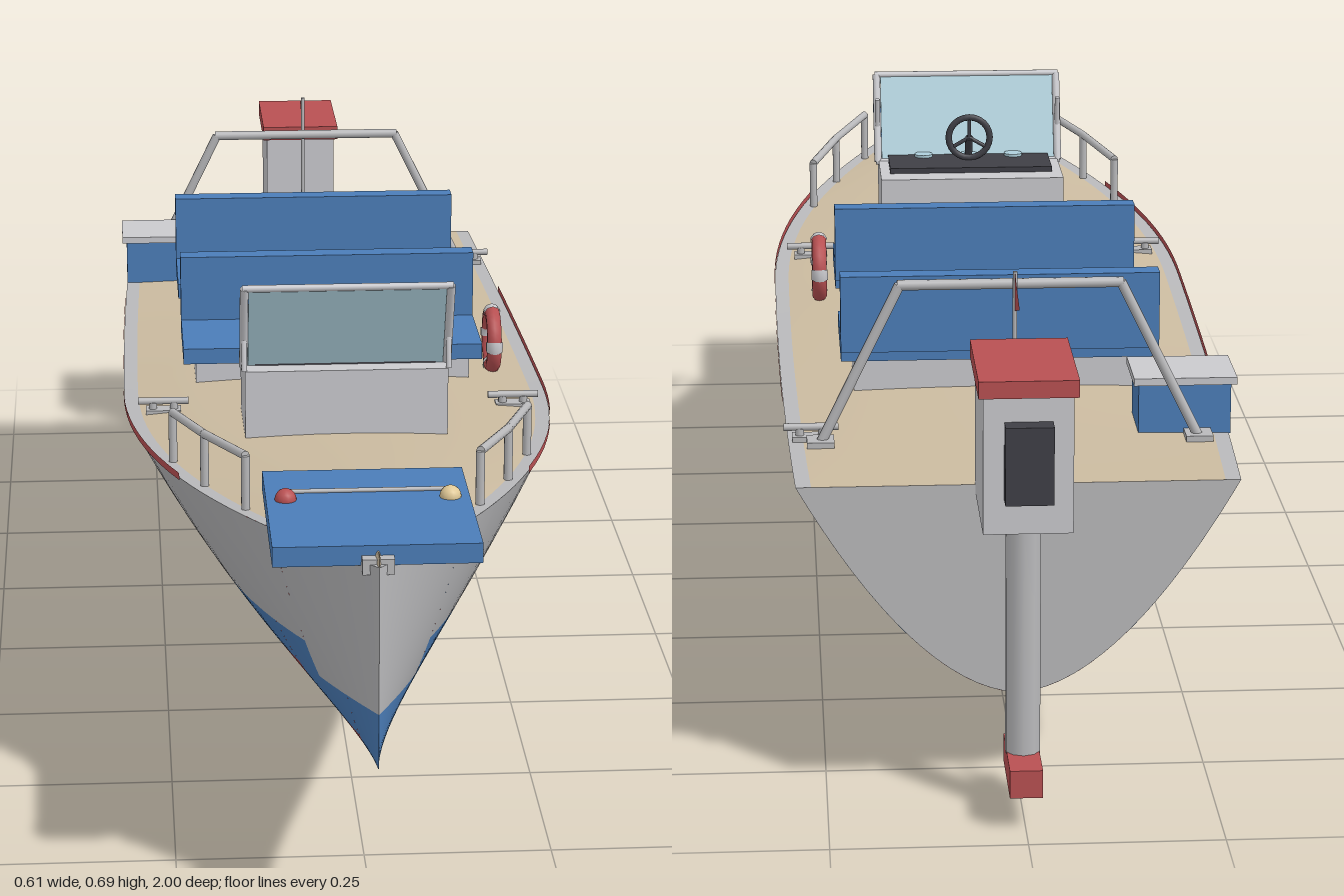
import * as THREE from 'three';

const mat = (name, color, side = THREE.FrontSide) => {
  const m = new THREE.MeshStandardMaterial({ color, side });
  m.name = name;
  return m;
};

export function createModel() {
  const grey = mat('hull grey', 0xb9b9bb, THREE.DoubleSide);
  const blue = mat('marine blue', 0x4b7db8, THREE.DoubleSide);
  const red = mat('signal red', 0xb85052, THREE.DoubleSide);
  const tan = mat('deck tan', 0xcbbba0, THREE.DoubleSide);
  const pale = mat('pale grey', 0xcacace);
  const dark = mat('dark trim', 0x3f3f46);
  const glass = mat('glass blue', 0xaecfdb);
  const cream = mat('lamp cream', 0xe0c896);

  const boat = new THREE.Group();
  boat.name = 'motorboat';

  // Helpers
  const add = (name, geo, m, x = 0, y = 0, z = 0, parent = boat) => {
    const mesh = new THREE.Mesh(geo, m);
    mesh.name = name;
    mesh.position.set(x, y, z);
    parent.add(mesh);
    return mesh;
  };
  // Box given by its limits
  const box = (name, m, x0, x1, y0, y1, z0, z1) =>
    add(name, new THREE.BoxGeometry(x1 - x0, y1 - y0, z1 - z0), m, (x0 + x1) / 2, (y0 + y1) / 2, (z0 + z1) / 2);
  // Round bar between two points
  const bar = (name, m, a, b, r = 0.006) => {
    const p = new THREE.Vector3(...a), q = new THREE.Vector3(...b), d = q.clone().sub(p);
    const mesh = add(name, new THREE.CylinderGeometry(r, r, d.length(), 10), m);
    mesh.position.copy(p.add(q).multiplyScalar(0.5));
    mesh.quaternion.setFromUnitVectors(new THREE.Vector3(0, 1, 0), d.normalize());
    return mesh;
  };
  // Surface sampled from a function of u and v
  const grid = (nu, nv, fn, flip) => {
    const pos = [], idx = [];
    for (let i = 0; i <= nu; i++) for (let j = 0; j <= nv; j++) pos.push(...fn(i / nu, j / nv));
    for (let i = 0; i < nu; i++) for (let j = 0; j < nv; j++) {
      const a = i * (nv + 1) + j, b = a + 1, c = a + nv + 1, d = c + 1;
      if (flip) idx.push(a, c, b, b, c, d);
      else idx.push(a, b, c, b, d, c);
    }
    const g = new THREE.BufferGeometry();
    g.setAttribute('position', new THREE.Float32BufferAttribute(pos, 3));
    g.setIndex(idx);
    g.computeVertexNormals();
    return g;
  };

  // Hull lines
  const STERN = -0.81;
  const ahead = (z) => Math.max(0, (z - 0.1) / 0.9);
  const width = (z) => z > 0.1 ? 0.305 * (1 - ahead(z) ** 2.1) : 0.305 - 0.02 * ((0.1 - z) / 0.91) ** 2;
  const keel = (z) => 0.13 + 0.105 * ahead(z) ** 1.7;
  const sheer = (z) => 0.415 + 0.09 * ((z - STERN) / 1.81) ** 2;
  const hullX = (y, z) => width(z) * Math.max(0, (y - keel(z)) / (sheer(z) - keel(z))) ** (1 / 1.8);
  // Stepped paint lines; zm tells which step the piece belongs to
  const redTop = (z, zm) => zm > 0.9 ? keel(z) : zm > 0.7 ? 0.215 + (z - 0.7) * 0.125
    : 0.21 + 0.05 * (Math.max(0, z) / 0.7) ** 1.5;
  const blueTop = (z, zm) => zm > 0.8 ? 0.28 + (z - 0.8) * 0.15 : zm < -0.46 ? 0.33
    : 0.265 + 0.065 * (Math.max(0, z) / 0.8) ** 1.5;

  // Painted hull sides
  const breaks = [STERN, -0.46, 0.1, 0.7, 0.8, 0.9, 1];
  const bands = [
    ['hullBottom', red, keel, redTop],
    ['hullBand', blue, redTop, blueTop],
    ['hullSide', grey, blueTop, sheer],
  ];
  for (const s of [1, -1]) for (let k = 0; k < breaks.length - 1; k++) {
    const z0 = breaks[k], z1 = breaks[k + 1], zm = (z0 + z1) / 2;
    for (const [name, m, lo, hi] of bands) {
      if (m === red && zm > 0.9) continue;
      add(name, grid(12, 10, (u, v) => {
        const z = z0 + (z1 - z0) * u, a = lo(z, zm), y = a + (hi(z, zm) - a) * v * v;
        return [s * hullX(y, z), y, z];
      }, s < 0), m);
    }
  }

  // Transom
  const outline = [];
  for (let i = -16; i <= 16; i++) {
    const t = i / 16;
    outline.push(new THREE.Vector2(t * width(STERN), keel(STERN) + (sheer(STERN) - keel(STERN)) * Math.abs(t) ** 1.8));
  }
  add('transom', new THREE.ShapeGeometry(new THREE.Shape(outline)).rotateY(Math.PI), grey, 0, 0, STERN);

  // Slightly crowned deck, gunwales and rub strips
  const inner = (z) => Math.max(0, width(z) - 0.02);
  const zAt = (u) => STERN + (1 - STERN) * u;
  const crown = (z) => 0.014 * Math.min(1, (z - STERN) / 0.8);
  add('deck', grid(48, 12, (u, v) => {
    const z = zAt(u), t = v * 2 - 1;
    return [t * inner(z), sheer(z) + crown(z) * (1 - t * t), z];
  }, true), tan);
  for (const s of [1, -1]) {
    add('gunwale', grid(48, 1, (u, v) => {
      const z = zAt(u);
      return [s * (v ? width(z) : inner(z)), sheer(z), z];
    }, s > 0), grey);
    add('rubStrip', grid(24, 1, (u, v) => {
      const z = -0.45 + u;
      return [s * (width(z) + 0.001), sheer(z) - 0.003 + v * 0.01, z];
    }, s < 0), red);
  }

  // Bow pad with lamps and stem head
  box('bowPad', blue, -0.13, 0.13, 0.497, 0.523, 0.69, 0.97);
  box('stemHead', grey, -0.02, 0.02, 0.49, 0.51, 0.95, 0.985);
  bar('padTrim', grey, [-0.1, 0.525, 0.775], [0.1, 0.525, 0.775], 0.003);
  for (const [x, m] of [[-0.105, red], [0.105, cream]])
    add('bowLamp', new THREE.SphereGeometry(0.014, 14, 10), m, x, 0.524, 0.8);

  // Bow rails
  for (const s of [1, -1]) {
    const post = (z) => [s * (width(z) - 0.018), sheer(z), z];
    const tops = [0.71, 0.59, 0.465].map((z) => {
      const p = post(z), t = [p[0], 0.53 + (z - 0.465) * 0.09, z];
      bar('railPost', grey, p, t);
      return t;
    });
    bar('bowRail', grey, tops[0], tops[1]);
    bar('bowRail', grey, tops[1], tops[2]);
  }

  // Helm console, dashboard and gauges
  box('console', pale, -0.14, 0.14, 0.43, 0.56, 0.225, 0.388);
  box('dashboard', dark, -0.125, 0.125, 0.558, 0.568, 0.265, 0.36);
  for (const x of [-0.07, 0, 0.07])
    add('gauge', new THREE.CylinderGeometry(0.014, 0.014, 0.006, 16), glass, x, 0.569, 0.345);
  add('steeringWheel', new THREE.TorusGeometry(0.032, 0.005, 8, 24), dark, 0, 0.603, 0.32);
  for (let i = 0; i < 3; i++) {
    const a = Math.PI / 2 + i * Math.PI * 2 / 3;
    bar('wheelSpoke', dark, [0, 0.603, 0.32], [0.032 * Math.cos(a), 0.603 + 0.032 * Math.sin(a), 0.32], 0.003);
  }
  bar('steeringColumn', dark, [0, 0.603, 0.32], [0, 0.565, 0.345], 0.006);

  // Forward-leaning windshield and frame
  const low = [0.558, 0.355], high = [0.685, 0.408];
  const pane = add('windshield', new THREE.BoxGeometry(0.27, Math.hypot(0.127, 0.053), 0.006), glass, 0, 0.6215, 0.3815);
  pane.rotation.x = Math.atan2(0.053, 0.127);
  for (const s of [1, -1]) {
    bar('windshieldPost', pale, [s * 0.141, ...low], [s * 0.141, ...high]);
    bar('windshieldStrut', pale, [s * 0.141, 0.56, 0.385], [s * 0.141, 0.655, 0.365], 0.004);
  }
  for (const p of [low, high]) bar('windshieldRail', pale, [-0.144, ...p], [0.144, ...p], 0.005);

  // Bench seats
  for (const [z, y] of [[0, 0.003], [-0.35, -0.003]]) {
    box('seatBase', pale, -0.2, 0.2, 0.42, 0.472 + y, z - 0.07, z + 0.075);
    box('seatCushion', blue, -0.218, 0.218, 0.472 + y, 0.495 + y, z - 0.085, z + 0.085);
    box('seatBack', blue, -0.218, 0.218, 0.485 + y, 0.592 + y, z - 0.088, z - 0.058);
  }

  // Life ring with white bands
  const ring = new THREE.Group();
  ring.name = 'lifeRing';
  ring.position.set(0.24, 0.482, 0.01);
  ring.rotation.y = Math.PI / 2;
  boat.add(ring);
  add('ringBody', new THREE.TorusGeometry(0.04, 0.011, 10, 32), red, 0, 0, 0, ring);
  for (let i = 0; i < 4; i++)
    add('ringBand', new THREE.TorusGeometry(0.04, 0.0125, 10, 6, 0.35), pale, 0, 0, 0, ring).rotation.z = i * Math.PI / 2 - 0.175;

  // Cool box
  box('coolBox', blue, -0.295, -0.172, 0.415, 0.485, -0.617, -0.53);
  box('coolBoxLid', pale, -0.302, -0.165, 0.485, 0.495, -0.625, -0.522);

  // Tow arch
  for (const s of [1, -1]) {
    bar('archLeg', grey, [s * 0.25, 0.418, -0.637], [s * 0.145, 0.632, -0.637], 0.007);
    box('archFoot', grey, s * 0.25 - 0.018, s * 0.25 + 0.018, 0.416, 0.424, -0.655, -0.619);
  }
  bar('archTop', grey, [-0.148, 0.632, -0.637], [0.148, 0.632, -0.637], 0.007);

  // Cleats
  for (const [x, z] of [[0.25, 0.21], [-0.25, 0.21], [0.262, -0.615]]) {
    const y = sheer(z);
    for (const d of [-0.015, 0.015]) bar('cleatLeg', grey, [x + d, y, z], [x + d, y + 0.016, z], 0.006);
    box('cleatBase', grey, x - 0.025, x + 0.025, y, y + 0.007, z - 0.012, z + 0.012);
    bar('cleatHorn', grey, [x - 0.036, y + 0.018, z], [x + 0.036, y + 0.018, z], 0.005);
  }

  // Stern flag
  bar('flagPole', grey, [0, 0.415, -0.724], [0, 0.672, -0.724], 0.003);
  const pennant = new THREE.Shape([[0, 0.67], [0.085, 0.645], [0, 0.62]].map((p) => new THREE.Vector2(...p)));
  add('flag', new THREE.ShapeGeometry(pennant).rotateY(Math.PI / 2), red, 0, 0, -0.726);

  // Outboard motor
  box('motorCowl', pale, -0.056, 0.056, 0.405, 0.585, -0.975, -0.805);
  box('motorCap', red, -0.062, 0.062, 0.582, 0.604, -0.982, -0.797);
  box('motorVent', dark, -0.03, 0.03, 0.45, 0.55, -1, -0.974);
  bar('motorLeg', grey, [0, 0.08, -0.888], [0, 0.41, -0.888], 0.023);
  box('gearCase', red, -0.021, 0.021, 0.046, 0.083, -0.96, -0.835);
  bar('propellerHub', grey, [0, 0.063, -0.84], [0, 0.063, -0.815], 0.012);
  box('propellerBlade', grey, -0.005, 0.005, 0, 0.125, -0.828, -0.822);

  return boat;
}
